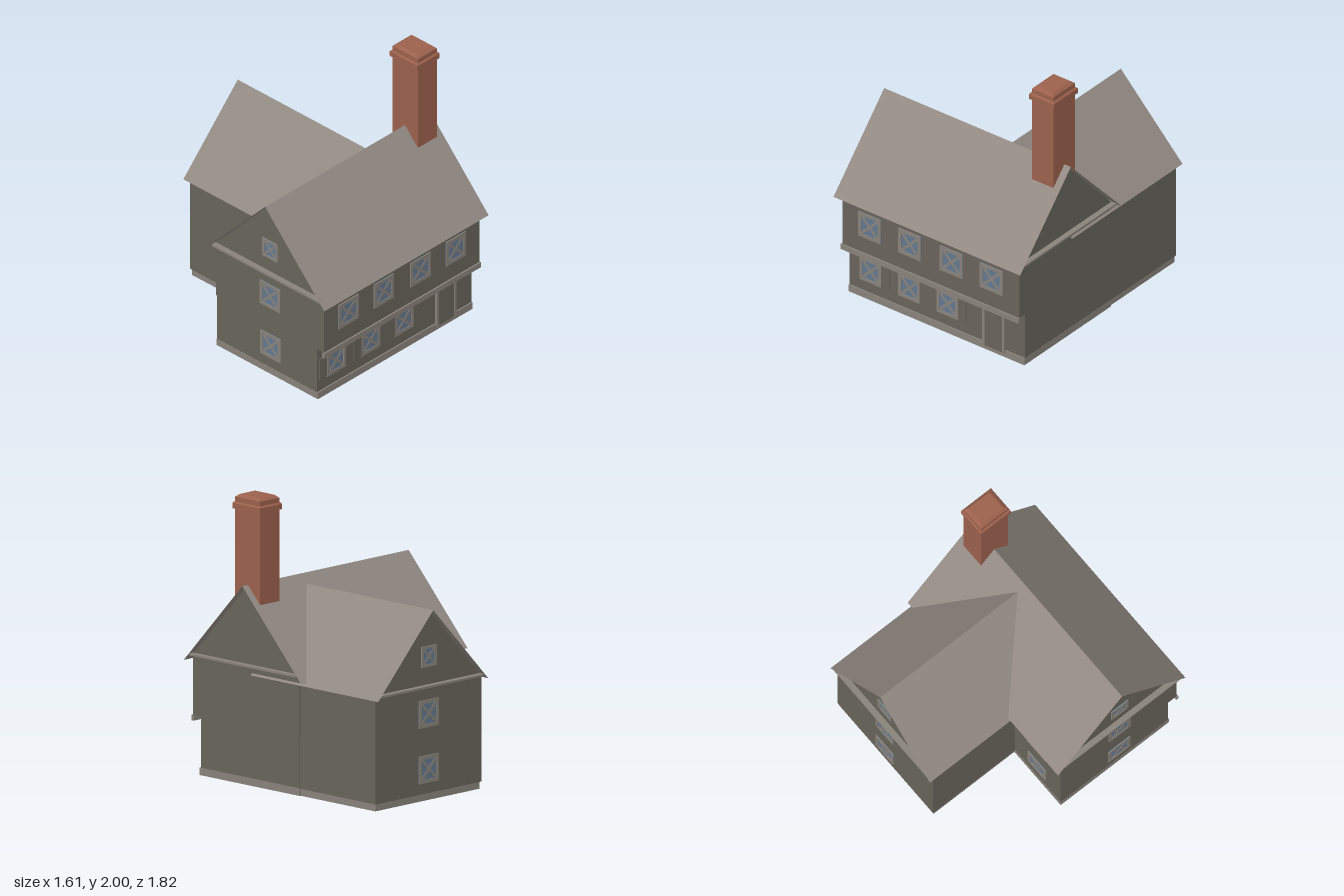
import * as THREE from 'three';

const mat = (name, color, side = THREE.FrontSide) => {
  const m = new THREE.MeshStandardMaterial({ color, side });
  m.name = name;
  return m;
};

export function createModel() {
  const house = new THREE.Group();
  house.name = 'house';
  const wall = mat('wall', 0x68645b, THREE.DoubleSide);
  const roof = mat('roof', 0x918982, THREE.DoubleSide);
  const trim = mat('trim', 0x88827a);
  const brick = mat('brick', 0x9c614d);
  const glass = mat('glass', 0x63788f);

  const add = (name, geo, material, parent = house) => {
    const m = new THREE.Mesh(geo, material);
    m.name = name;
    parent.add(m);
    return m;
  };
  // box from its minimum and maximum corners
  const box = (name, x0, x1, y0, y1, z0, z1, material, parent) => {
    const m = add(name, new THREE.BoxGeometry(x1 - x0, y1 - y0, z1 - z0), material, parent);
    m.position.set((x0 + x1) / 2, (y0 + y1) / 2, (z0 + z1) / 2);
    return m;
  };
  // flat convex polygons, each a list of corners
  const sheets = (name, polygons, material) => {
    const p = [];
    for (const c of polygons)
      for (let i = 1; i < c.length - 1; i++) p.push(...c[0], ...c[i], ...c[i + 1]);
    const g = new THREE.BufferGeometry();
    g.setAttribute('position', new THREE.Float32BufferAttribute(p, 3));
    g.computeVertexNormals();
    return add(name, g, material);
  };
  // four walls, open above and below
  const walls = (name, x0, x1, z0, z1, y0, y1, material) => {
    const c = [[x0, z1], [x1, z1], [x1, z0], [x0, z0]];
    return sheets(name, c.map(([x, z], i) => {
      const [u, w] = c[(i + 1) % 4];
      return [[x, y0, z], [u, y0, w], [u, y1, w], [x, y1, z]];
    }), material);
  };
  const floor = (name, x0, x1, z0, z1, y) =>
    sheets(name, [[[x0, y, z1], [x1, y, z1], [x1, y, z0], [x0, y, z0]]], wall);

  // front block: hollow ground floor, jettied upper floor
  walls('groundFloorWalls', -0.757, 0.757, -0.148, 0.79, 0.05, 0.41, wall);
  walls('upperFloorWalls', -0.762, 0.762, -0.152, 0.86, 0.41, 0.835, wall);
  floor('upperFloor', -0.762, 0.762, -0.152, 0.86, 0.41);
  box('jettyBeam', -0.77, 0.765, 0.37, 0.41, 0.852, 0.872, trim);

  // rear wing
  walls('wingWalls', -0.27, 0.755, -0.865, -0.15, 0.05, 0.79, wall);

  // plinths, as rings of thin boards
  const plinth = (name, x0, x1, z0, z1) => {
    const t = 0.015, g = new THREE.Group();
    g.name = name;
    house.add(g);
    for (const z of [z0, z1 - t]) box('plinthBoard', x0, x1, 0, 0.053, z, z + t, trim, g);
    for (const x of [x0, x1 - t]) box('plinthBoard', x, x + t, 0, 0.053, z0 + t, z1 - t, trim, g);
  };
  plinth('frontPlinth', -0.758, 0.758, -0.149, 0.8);
  plinth('wingPlinth', -0.262, 0.748, -0.856, -0.15);

  // thin pitched roofs
  const ridgeZ = 0.35, ridgeX = 0.2425;
  sheets('mainRoof', [
    [[-0.805, 0.79, 0.905], [0.805, 0.79, 0.905], [0.805, 1.386, ridgeZ], [-0.805, 1.386, ridgeZ]],
    [[0.805, 0.79, -0.21], [-0.805, 0.79, -0.21], [-0.805, 1.386, ridgeZ], [0.805, 1.386, ridgeZ]],
  ], roof);
  sheets('wingRoof', [
    [[-0.29, 0.77, -0.91], [-0.29, 0.77, 0.3], [ridgeX, 1.325, 0.29], [ridgeX, 1.325, -0.91]],
    [[0.775, 0.77, 0.3], [0.775, 0.77, -0.91], [ridgeX, 1.325, -0.91], [ridgeX, 1.325, 0.29]],
  ], roof);

  // gables with a ledge below each
  for (const s of [-1, 1]) {
    const x = s * 0.762;
    sheets('mainGable', [s > 0
      ? [[x, 0.83, 0.86], [x, 0.83, -0.155], [x, 1.378, ridgeZ]]
      : [[x, 0.83, -0.155], [x, 0.83, 0.86], [x, 1.378, ridgeZ]]], wall);
    const e = s * 0.803;
    box('gableLedge', Math.min(x, e), Math.max(x, e), 0.828, 0.842, -0.152, 0.858, trim);
  }
  sheets('wingGable', [[[0.755, 0.785, -0.865], [-0.27, 0.785, -0.865], [ridgeX, 1.318, -0.865]]], wall);
  box('wingGableLedge', -0.255, 0.74, 0.79, 0.805, -0.908, -0.865, trim);

  // crossed window, placed on a wall and turned to face outward
  const windowAt = (x, y, z, size, turn = 0) => {
    const g = new THREE.Group(), h = size / 2, f = size * 0.13;
    g.name = 'window';
    g.position.set(x, y, z);
    g.rotation.y = turn;
    house.add(g);
    box('pane', -h, h, -h, h, 0, 0.004, glass, g);
    for (const s of [-1, 1]) {
      const c = s * (h - f / 2);
      box('frameRail', -h, h, c - f / 2, c + f / 2, 0, 0.009, trim, g);
      box('frameStile', c - f / 2, c + f / 2, -h + f, h - f, 0, 0.009, trim, g);
      const l = (h - f) * 1.36;
      box('crossBar', -l, l, -f * 0.4, f * 0.4, 0, 0.007 + s * 0.0005, trim, g)
        .rotation.z = s * Math.PI / 4;
    }
  };
  for (const x of [-0.525, -0.18, 0.18, 0.525]) windowAt(x, 0.633, 0.86, 0.195);
  for (const x of [-0.572, -0.238, 0.092]) {
    windowAt(x, 0.228, 0.79, 0.185);
    for (const s of [-1, 1]) {
      const c = x + s * 0.129;
      box('shutter', c - 0.036, c + 0.036, 0.145, 0.31, 0.79, 0.798, wall);
    }
  }
  // rear and side windows
  windowAt(-0.51, 0.255, -0.148, 0.19, Math.PI);
  windowAt(-0.51, 0.65, -0.152, 0.19, Math.PI);
  for (const [y, s] of [[0.22, 0.19], [0.605, 0.19], [1.0, 0.145]])
    windowAt(ridgeX, y, -0.865, s, Math.PI);
  for (const [y, s, x] of [[0.23, 0.19, -0.757], [0.64, 0.19, -0.762], [1.02, 0.145, -0.762]])
    windowAt(x, y, 0.36, s, -Math.PI / 2);

  // front door
  box('door', 0.42, 0.57, 0.03, 0.335, 0.79, 0.803, wall);
  for (const x of [0.4, 0.57]) box('doorJamb', x, x + 0.02, 0.03, 0.355, 0.79, 0.808, trim);
  box('doorLintel', 0.42, 0.57, 0.335, 0.355, 0.79, 0.808, trim);

  // chimney: shaft, band and cap with a bevelled top
  const chimney = new THREE.Group();
  chimney.name = 'chimney';
  chimney.position.set(0.657, 0, 0.353);
  house.add(chimney);
  // four-sided block tapering from bottom to top size
  const block = (name, w, d, y0, y1, taper = 1) => {
    const g = new THREE.CylinderGeometry(Math.SQRT1_2 * taper, Math.SQRT1_2, y1 - y0, 4, 1)
      .rotateY(Math.PI / 4).toNonIndexed();
    g.scale(w, 1, d);
    g.computeVertexNormals();
    add(name, g, brick, chimney).position.y = (y0 + y1) / 2;
  };
  block('shaft', 0.185, 0.237, 1.2, 1.9);
  block('band', 0.215, 0.263, 1.9, 1.937);
  block('bandBevel', 0.215, 0.263, 1.937, 1.947, 0.93);
  block('cap', 0.185, 0.237, 1.94, 1.98);
  block('capBevel', 0.185, 0.237, 1.98, 2.0, 0.78);
  return house;
}
